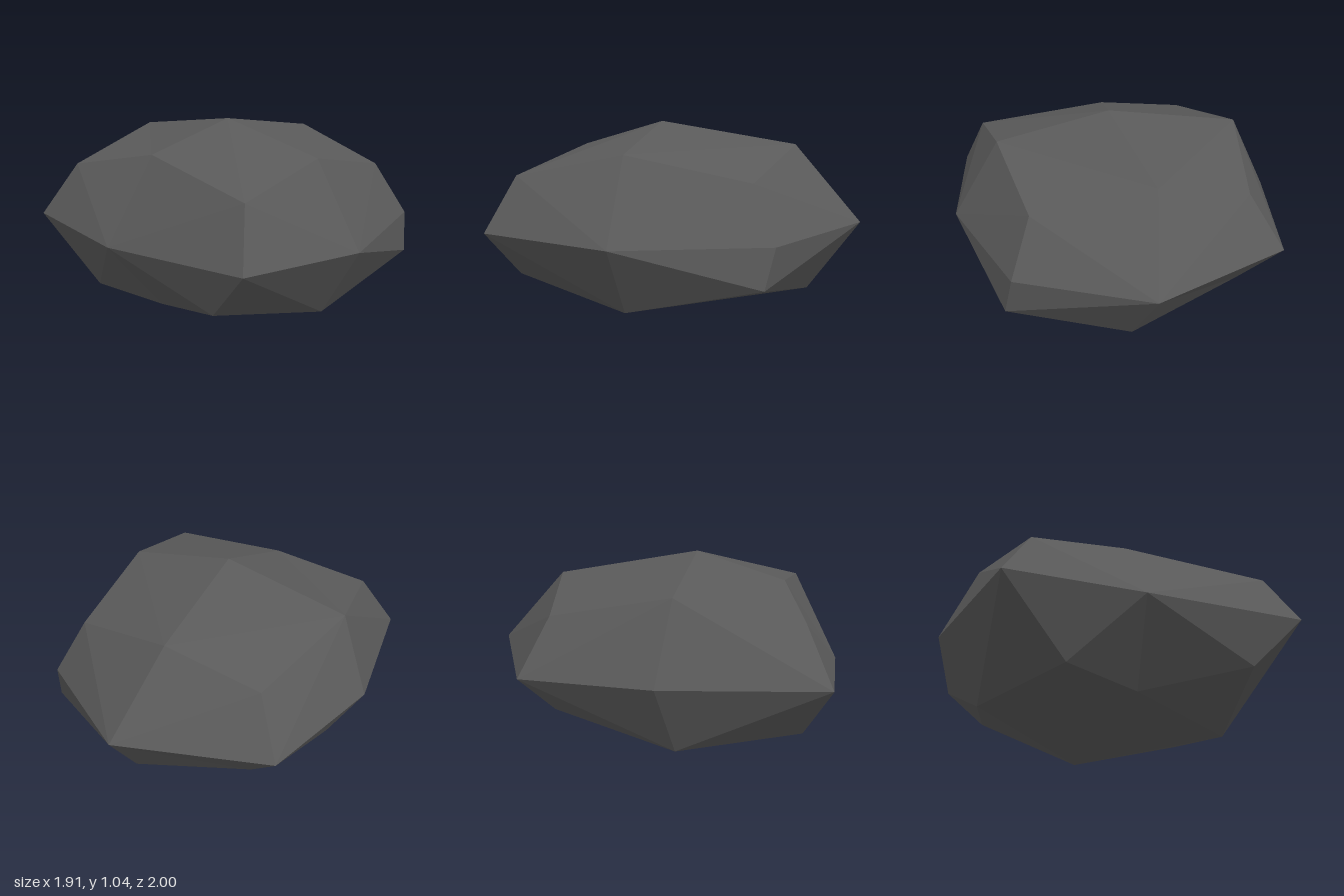
import * as THREE from 'three';

// Three rings of eight points, each running from the front left round by the right and the back
const bottomRing = [
  [-0.43, 0.10, 0.81], [-0.02, 0.05, 0.69], [0.56, 0.20, 0.86], [0.71, 0.06, 0.19],
  [0.75, 0.24, -0.56], [0.08, 0.09, -0.71], [-0.58, 0.24, -0.55], [-0.73, 0.09, 0.13],
];
const middleRing = [
  [-0.79, 0.48, 0.93], [-0.08, 0.44, 1.00], [0.83, 0.48, 0.93], [0.95, 0.45, 0.20],
  [0.71, 0.46, -0.61], [0.02, 0.48, -1.00], [-0.79, 0.48, -0.69], [-0.96, 0.51, 0.05],
];
const topRing = [
  [-0.62, 0.78, 0.79], [-0.07, 0.89, 0.69], [0.71, 0.78, 0.79], [0.67, 0.90, 0.20],
  [0.58, 0.76, -0.47], [-0.08, 0.91, -0.61], [-0.62, 0.78, -0.55], [-0.77, 0.93, 0.12],
];
const topCentre = [0.0, 1.04, 0.18];
const bottomCentre = [0.09, 0.0, 0.11];

export function createModel() {
  const positions = [];
  const core = new THREE.Vector3(0, 0.5, 0.1);

  // Splits a facet along the diagonal that bulges outwards
  const reach = (p, q) => new THREE.Vector3(...p).add(new THREE.Vector3(...q))
    .multiplyScalar(0.5).distanceTo(core);
  const quad = (a, b, c, d) => {
    const corners = reach(a, c) > reach(b, d) ? [a, b, c, a, c, d] : [a, b, d, b, c, d];
    positions.push(...corners.flat());
  };

  // Side facets between neighbouring rings
  for (const [low, high] of [[bottomRing, middleRing], [middleRing, topRing]]) {
    for (let i = 0; i < 8; i++) {
      const j = (i + 1) % 8;
      quad(low[i], low[j], high[j], high[i]);
    }
  }

  // Four facets around the centre of the top and of the underside
  for (let i = 0; i < 8; i += 2) {
    const before = (i + 7) % 8, after = i + 1;
    quad(topCentre, topRing[before], topRing[i], topRing[after]);
    quad(bottomCentre, bottomRing[after], bottomRing[i], bottomRing[before]);
  }

  const geometry = new THREE.BufferGeometry();
  geometry.setAttribute('position', new THREE.Float32BufferAttribute(positions, 3));
  geometry.computeVertexNormals(); // unshared corners keep the facets flat

  const stone = new THREE.MeshStandardMaterial({ color: 0x5a5a5a });
  stone.name = 'dark grey stone';
  const rock = new THREE.Mesh(geometry, stone);
  rock.name = 'rock';

  const group = new THREE.Group();
  group.name = 'boulder';
  group.add(rock);
  return group;
}
